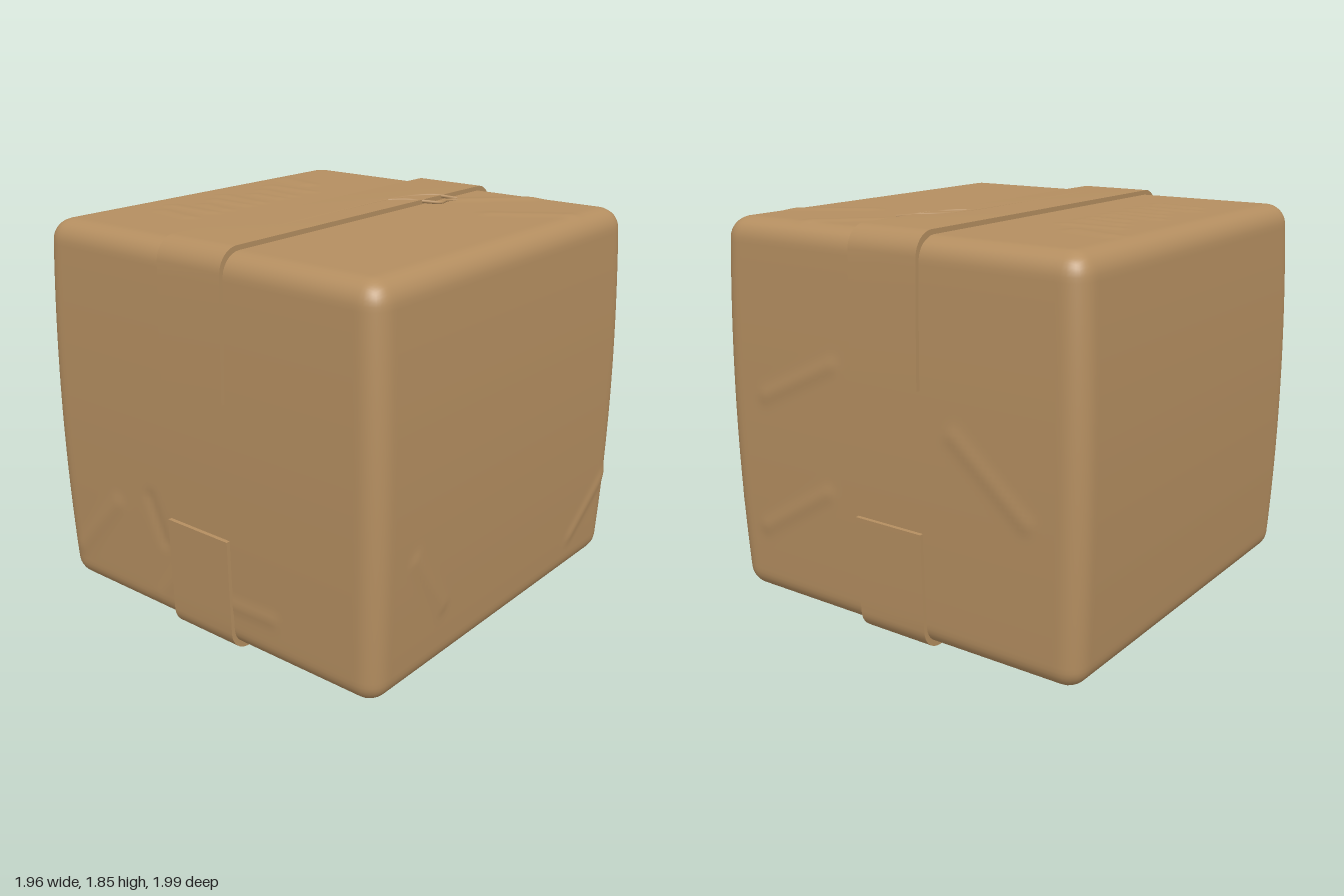
import * as THREE from 'three';
import { mergeVertices, toCreasedNormals } from 'three/addons/utils/BufferGeometryUtils.js';

const HALF = new THREE.Vector3(0.953, 0.898, 0.96);
const MID_Y = 0.922;
const TAPE_LEFT = 0.175, TAPE_RIGHT = -0.19;

// The sides swell gently around mid height; works in box-centred coordinates
function bulge(v) {
  const k = Math.max(0, 1 - (v.y / 0.9) ** 2);
  v.x *= 1 + 0.028 * k;
  v.z *= 1 + 0.02 * k;
  return v;
}

function eachVertex(geometry, fn) {
  const pos = geometry.attributes.position, v = new THREE.Vector3();
  for (let i = 0; i < pos.count; i++) {
    v.fromBufferAttribute(pos, i);
    fn(v);
    pos.setXYZ(i, v.x, v.y, v.z);
  }
  return geometry;
}

// Soft creases: start, end, width, height
const V = (x, y, z) => new THREE.Vector3(x, y, z);
const creases = [
  [V(-0.85, -0.72, 0.96), V(-0.55, -0.4, 0.96), 0.04, 0.006],
  [V(-0.3, -0.8, 0.96), V(-0.05, -0.5, 0.96), 0.04, 0.005],
  [V(0.15, -0.68, 0.96), V(0.4, -0.67, 0.96), 0.03, 0.005],
  [V(-0.32, -0.3, 0.96), V(-0.24, -0.5, 0.96), 0.03, -0.006],
  [V(0.95, -0.3, 0.7), V(0.95, -0.6, 0.5), 0.03, 0.006],
  [V(0.95, -0.7, -0.6), V(0.95, -0.45, -0.9), 0.03, 0.006],
  [V(0.25, 0.9, -0.6), V(0.5, 0.9, -0.85), 0.04, 0.007],
  [V(0.55, 0.9, -0.4), V(0.85, 0.9, -0.6), 0.04, 0.006],
  [V(-0.8, 0.9, -0.5), V(-0.6, 0.9, -0.45), 0.04, 0.008],
  [V(-0.92, 0.9, -0.92), V(0.92, 0.9, -0.92), 0.02, -0.006],
  [V(-0.35, 0.1, -0.96), V(-0.7, -0.2, -0.96), 0.035, 0.006],
  [V(0.3, 0.3, -0.96), V(0.7, 0.1, -0.96), 0.035, 0.006],
  [V(0.35, -0.3, -0.96), V(0.75, -0.55, -0.96), 0.035, 0.006],
];
for (let i = 0; i < 8; i++) {
  const z = -0.3 + i * 0.115;
  creases.push([V(-0.72 + 0.05 * (i % 3), 0.9, z), V(-0.45, 0.9, z + 0.03 * (i % 2)), 0.025, 0.006]);
}

function makeCarton() {
  let g = new THREE.BoxGeometry(HALF.x * 2, HALF.y * 2, HALF.z * 2, 80, 80, 80);
  g.deleteAttribute('uv');
  g.deleteAttribute('normal');
  g = mergeVertices(g);
  const r = 0.095, limit = HALF.clone().subScalar(r), low = limit.clone().negate();
  const nearest = new THREE.Vector3(), line = new THREE.Line3();
  eachVertex(g, (v) => {
    const inner = v.clone().clamp(low, limit);
    const n = v.clone().sub(inner).normalize();
    v.copy(inner).addScaledVector(n, r);
    let push = 0;
    for (const [a, b, width, height] of creases) {
      line.set(a, b).closestPointToPoint(v, true, nearest);
      push += height * Math.exp(-nearest.distanceToSquared(v) / (width * width));
    }
    bulge(v.addScaledVector(n, push));
  });
  g.computeVertexNormals();
  return g;
}

// Half outline of a tape strip in the z-y plane, from the front end to the back end
function tapePath(end, halfZ, halfY, r) {
  const pts = [];
  for (let i = 0; i < 8; i++) pts.push([halfZ, end + (halfY - r - end) * i / 8]);
  for (let i = 0; i <= 8; i++) {
    const a = (i / 8) * Math.PI / 2;
    pts.push([halfZ - r + r * Math.cos(a), halfY - r + r * Math.sin(a)]);
  }
  const back = pts.map(([z, y]) => [-z, y]).reverse();
  return [...pts, ...back].map(([z, y]) => new THREE.Vector2(z, y));
}

// sign 1 wraps over the top, -1 wraps under the bottom
function makeTape(end, sign) {
  const outer = tapePath(end, 0.979, 0.92, 0.1);
  const inner = tapePath(end, 0.945, 0.886, 0.075).reverse();
  const outline = [...outer, ...inner];
  outline.forEach((p) => { p.y *= sign; });
  let g = new THREE.ExtrudeGeometry(new THREE.Shape(outline), {
    depth: TAPE_LEFT - TAPE_RIGHT, steps: 1, bevelEnabled: false,
  });
  g.rotateY(-Math.PI / 2).translate(TAPE_LEFT, 0, 0);
  eachVertex(g, (v) => {
    const x = v.x;
    bulge(v);
    v.x = x;
  });
  return toCreasedNormals(g, 0.6);
}

// Narrow raised fold lying on the top, points given as [x, y, z]
function makeFold(points, radius) {
  const curve = new THREE.CatmullRomCurve3(points.map((p) => V(...p)));
  return new THREE.TubeGeometry(curve, 40, radius, 8, false);
}

export function createModel() {
  const group = new THREE.Group();
  group.name = 'cardboardBox';
  const cardboard = new THREE.MeshStandardMaterial({ color: 0xb48e60 });
  cardboard.name = 'cardboard brown';
  const add = (name, geometry) => {
    const mesh = new THREE.Mesh(geometry, cardboard);
    mesh.name = name;
    mesh.position.y = MID_Y;
    group.add(mesh);
  };

  add('carton', makeCarton());
  add('topTape', makeTape(1.19 - MID_Y, 1));
  add('bottomTape', makeTape(MID_Y - 0.56, -1));

  // Wrinkle running along the top tape and the lifted loop at its end
  add('tapeFold', makeFold([
    [0.05, 0.912, 0.85], [0.04, 0.914, 0.4], [0.04, 0.916, 0], [0.045, 0.917, -0.3],
    [0.08, 0.917, -0.45], [0.15, 0.917, -0.54], [0.25, 0.907, -0.58],
  ], 0.008));
  add('tapeLoop', makeFold([
    [0.045, 0.916, -0.29], [0.11, 0.917, -0.35], [0.19, 0.91, -0.41],
    [0.235, 0.903, -0.46], [0.225, 0.903, -0.53], [0.25, 0.9, -0.58],
  ], 0.008));
  return group;
}
